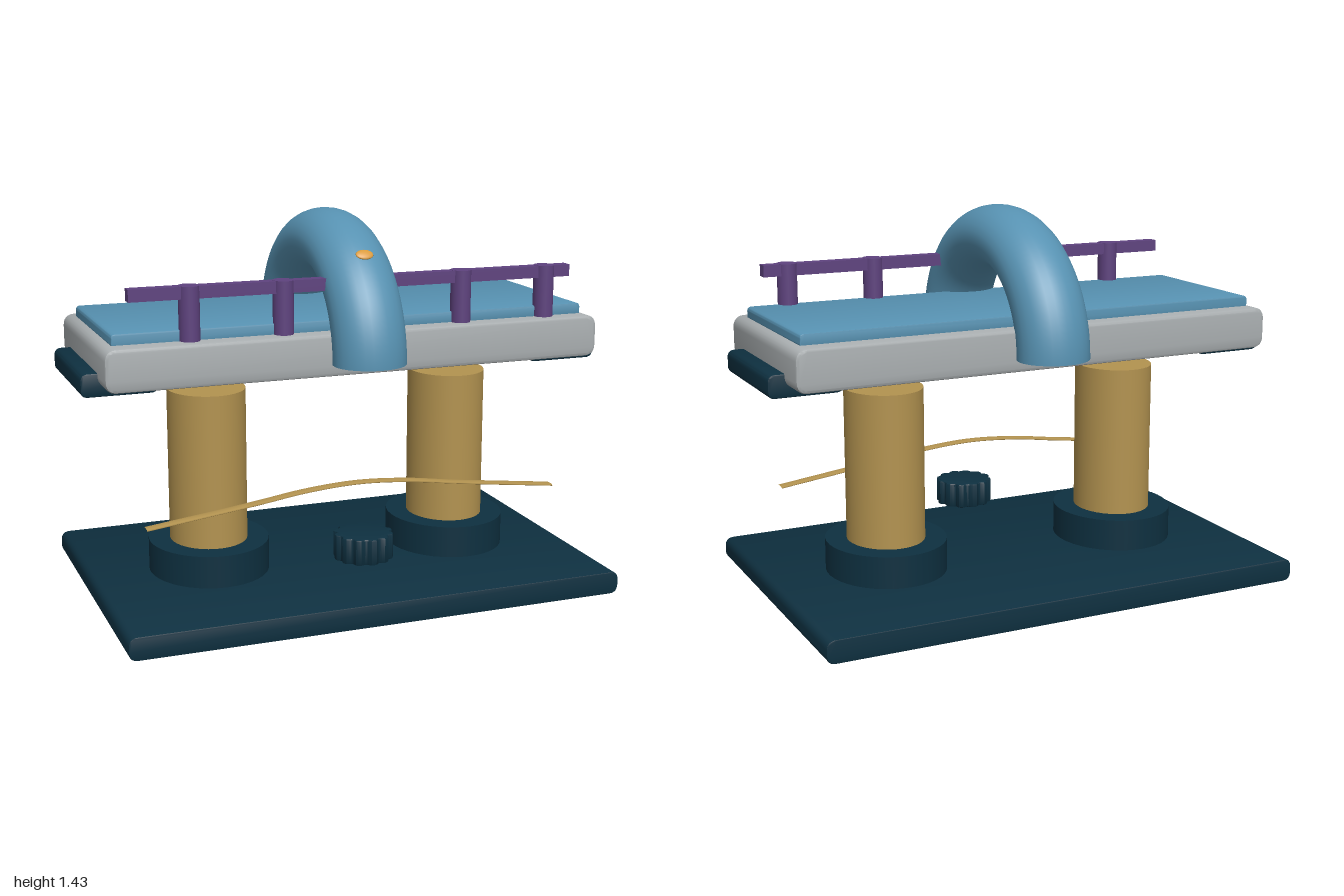
import * as THREE from 'three';
import { toCreasedNormals } from 'three/addons/utils/BufferGeometryUtils.js';

const mat = (name, color) => {
  const m = new THREE.MeshStandardMaterial({ color });
  m.name = name;
  return m;
};

export function createModel() {
  const group = new THREE.Group();
  const teal = mat('darkTeal', 0x0e3040);
  const blue = mat('steelBlue', 0x5792b2);
  const grey = mat('paleGrey', 0xa9aeb0);
  const gold = mat('brass', 0xb39350);
  const purple = mat('purple', 0x5f437f);
  const amber = mat('amber', 0xd99a3c);

  const add = (name, geometry, material, x = 0, y = 0, z = 0) => {
    const mesh = new THREE.Mesh(geometry, material);
    mesh.name = name;
    mesh.position.set(x, y, z);
    group.add(mesh);
    return mesh;
  };

  // Slab whose front outline has rounded corners, with a small bevel front and back
  const slab = (w, h, d, r, bevel) => {
    const a = w / 2 - bevel, b = h / 2 - bevel, s = new THREE.Shape();
    s.moveTo(-a + r, -b);
    s.lineTo(a - r, -b);
    s.quadraticCurveTo(a, -b, a, -b + r);
    s.lineTo(a, b - r);
    s.quadraticCurveTo(a, b, a - r, b);
    s.lineTo(-a + r, b);
    s.quadraticCurveTo(-a, b, -a, b - r);
    s.lineTo(-a, -b + r);
    s.quadraticCurveTo(-a, -b, -a + r, -b);
    const g = new THREE.ExtrudeGeometry(s, {
      depth: d - 2 * bevel, curveSegments: 6,
      bevelSize: bevel, bevelThickness: bevel, bevelSegments: 2,
    });
    g.translate(0, 0, -d / 2 + bevel);
    return toCreasedNormals(g, 0.6);
  };

  // Base, table and mattress
  add('base', slab(1.88, 0.086, 1.2, 0.03, 0.004), teal, 0, 0.043);
  add('table', slab(1.88, 0.155, 0.732, 0.03, 0.012), grey, 0, 0.948);
  add('mattress', slab(1.804, 0.05, 0.604, 0.012, 0.004), blue, 0, 1.04);

  // Oval columns, their collars and the end pads
  for (const s of [-1, 1]) {
    add('column', new THREE.CylinderGeometry(0.145, 0.145, 0.6, 40), gold, s * 0.487, 0.485)
      .scale.z = 1.13;
    add('collar', new THREE.CylinderGeometry(0.225, 0.225, 0.13, 40), teal, s * 0.487, 0.142)
      .scale.z = 1.115;
    add('endPad', slab(0.274, 0.085, 0.486, 0.02, 0.006), teal, s * 0.863, 0.879);
  }

  // Arch: half ring across the table, open at both ends
  const arch = add('arch', new THREE.TorusGeometry(0.395, 0.115, 28, 56, Math.PI), blue, 0, 0.918);
  arch.rotation.y = Math.PI / 2;
  arch.scale.set(1.047, 1, 1.165);

  // Indicator lamp set flush into the arch
  const lamp = add('lamp', new THREE.SphereGeometry(1, 20, 12), amber, 0, 1.3, 0.357);
  lamp.scale.set(0.033, 0.008, 0.022);
  lamp.rotation.x = 0.72;

  // Side rail on four posts
  add('rail', new THREE.BoxGeometry(1.684, 0.044, 0.044), purple, 0, 1.195, 0.296);
  for (const x of [-0.625, -0.283, 0.404, 0.745]) {
    add('railPost', new THREE.CylinderGeometry(0.037, 0.037, 0.2, 24), purple, x, 1.118, 0.298)
      .scale.z = 1.1;
  }

  // Flat flexible strip bowed over the base
  const bow = new THREE.CatmullRomCurve3([
    [-0.8, 0], [-0.4, 0.05], [-0.2, 0.078], [0, 0.09], [0.2, 0.078], [0.4, 0.05], [0.8, 0],
  ].map(([x, y]) => new THREE.Vector3(x, y, 0)));
  const strip = add('strip', new THREE.TubeGeometry(bow, 48, 0.005, 10), gold, 0, 0.36, 0.3);
  strip.scale.z = 4.9;

  // Fluted knob
  const outline = [];
  for (let i = 0; i < 96; i++) {
    const t = (i / 96) * Math.PI * 2;
    const r = 0.098 + 0.006 * Math.tanh(2.5 * Math.cos(12 * t));
    outline.push(new THREE.Vector2(r * Math.cos(t), r * Math.sin(t)));
  }
  const knob = new THREE.ExtrudeGeometry(new THREE.Shape(outline), {
    depth: 0.086, bevelSize: 0.006, bevelThickness: 0.006, bevelSegments: 2,
  });
  knob.rotateX(-Math.PI / 2);
  add('knob', toCreasedNormals(knob, 0.6), teal, 0, 0.187, 0.36);

  return group;
}
